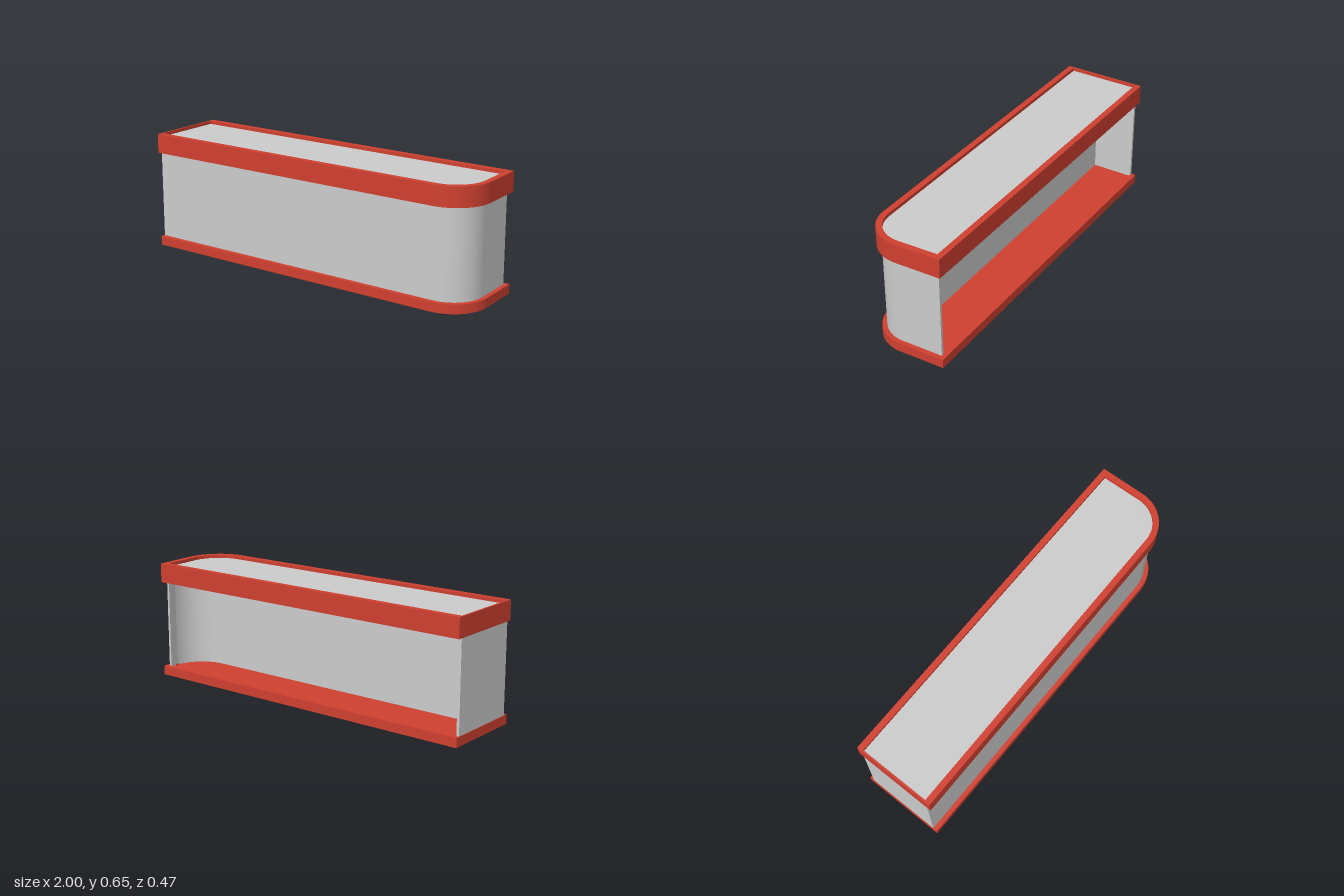
import * as THREE from 'three';

const RED = new THREE.MeshStandardMaterial({ color: 0xd04030 });
const GREY = new THREE.MeshStandardMaterial({ color: 0xcccccc });

// Plan outline with one rounded front corner; plan y is -z.
function outline(inset, left, PathType = THREE.Shape) {
  const p = new PathType();
  p.moveTo(left, 0.233 - inset);
  p.lineTo(left, -0.233 + inset);
  p.lineTo(0.8, -0.233 + inset);
  p.absarc(0.8, -0.033, 0.2 - inset, -Math.PI / 2, 0, false);
  p.lineTo(0.99 - inset, 0.226 - inset);
  p.closePath();
  return p;
}

// Body plan: front and both ends, with a recess open to the back.
function bodyPlan() {
  const s = new THREE.Shape();
  s.moveTo(-0.998, 0.208);
  s.lineTo(-0.998, -0.208);
  s.lineTo(0.8, -0.208);
  s.absarc(0.8, -0.033, 0.175, -Math.PI / 2, 0, false);
  s.lineTo(0.967, 0.204);
  s.lineTo(0.953, 0.204);
  s.lineTo(0.96, 0.15);
  s.absarc(0.78, 0.15, 0.18, 0, -Math.PI / 2, true);
  s.lineTo(-0.983, -0.03);
  s.lineTo(-0.983, 0.208);
  s.closePath();
  return s;
}

function slab(name, shape, y0, y1, material) {
  const geo = new THREE.ExtrudeGeometry(shape, { depth: y1 - y0, bevelEnabled: false, curveSegments: 12 });
  geo.rotateX(-Math.PI / 2);
  geo.translate(0, y0, 0);
  const mesh = new THREE.Mesh(geo, material);
  mesh.name = name;
  return mesh;
}

function ring() {
  const s = outline(0, -1);
  s.holes.push(outline(0.033, -0.99, THREE.Path));
  return s;
}

export function createModel() {
  const group = new THREE.Group();
  group.name = 'counter';

  // Base tray with a low lip
  group.add(slab('baseFloor', outline(0, -1), 0, 0.045, RED));
  group.add(slab('baseLip', ring(), 0.045, 0.051, RED));

  // Walls
  group.add(slab('body', bodyPlan(), 0.04, 0.575, GREY));

  // Top frame, its underside plate and the sunken worktop
  group.add(slab('topFrame', ring(), 0.541, 0.648, RED));
  group.add(slab('topUnderside', outline(0.03, -0.995), 0.56, 0.615, RED));
  group.add(slab('worktop', outline(0.032, -0.992), 0.615, 0.63, GREY));

  return group;
}
